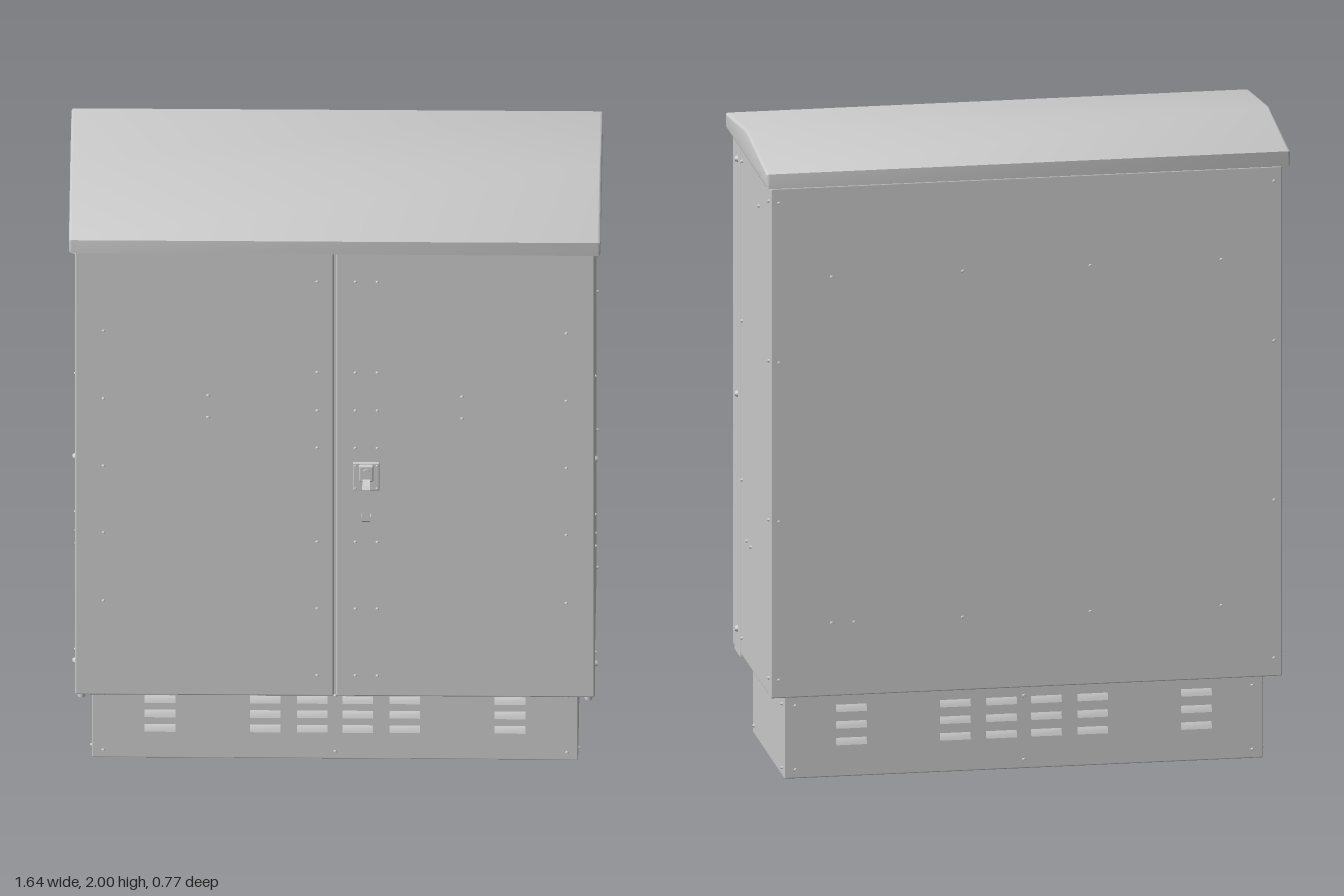
import * as THREE from 'three';
import { mergeGeometries, toCreasedNormals } from 'three/addons/utils/BufferGeometryUtils.js';
import { RoundedBoxGeometry } from 'three/addons/geometries/RoundedBoxGeometry.js';

const grey = new THREE.MeshStandardMaterial({ color: 0xcccccc, side: THREE.DoubleSide });

function add(parent, name, geometry) {
  const mesh = new THREE.Mesh(geometry, grey);
  mesh.name = name;
  parent.add(mesh);
  return mesh;
}

// Box given by its limits, with optionally rounded edges
function box([x0, x1], [y0, y1], [z0, z1], r = 0) {
  const s = [x1 - x0, y1 - y0, z1 - z0];
  const g = r ? new RoundedBoxGeometry(...s, 2, r) : new THREE.BoxGeometry(...s);
  return g.translate((x0 + x1) / 2, (y0 + y1) / 2, (z0 + z1) / 2);
}

// Side profile of [z, y] points extruded along x, centred on x = 0
function sideExtrude(points, width, bevel = 0) {
  const shape = new THREE.Shape(points.map(([z, y]) => new THREE.Vector2(z, y)));
  const g = new THREE.ExtrudeGeometry(shape, {
    depth: width - 2 * bevel, bevelEnabled: bevel > 0,
    bevelSize: bevel, bevelThickness: bevel, bevelOffset: -bevel, bevelSegments: 3,
  });
  return toCreasedNormals(g.translate(0, 0, bevel - width / 2).rotateY(-Math.PI / 2), 0.6);
}

// Domed screw heads on a wall; axis is the outward direction
function screws(parent, name, points, axis, r = 0.0055, h = 0.006) {
  const turn = new THREE.Quaternion().setFromUnitVectors(
    new THREE.Vector3(0, 1, 0), new THREE.Vector3(...axis));
  const parts = points.map((p) => new THREE.CylinderGeometry(r * 0.65, r, h, 10)
    .translate(0, h / 2, 0).applyQuaternion(turn).translate(...p));
  add(parent, name, mergeGeometries(parts));
}

const grid = (as, bs, place) => as.flatMap((a) => bs.map((b) => place(a, b)));

export function createModel() {
  const model = new THREE.Group();
  model.name = 'streetCabinet';

  // Plinth with its screws
  const plinth = new THREE.Group();
  plinth.name = 'plinth';
  plinth.position.z = -0.01;
  model.add(plinth);
  add(plinth, 'plinthBox', box([-0.75, 0.75], [0, 0.272], [-0.285, 0.285], 0.004));
  for (const s of [1, -1]) {
    screws(plinth, 'plinthScrews',
      grid([-0.715, 0, 0.715], [0.028, 0.232], (x, y) => [x, y, s * 0.285]), [0, 0, s]);
    screws(plinth, 'plinthSideScrews',
      grid([-0.25, 0.255], [0.028, 0.232], (z, y) => [s * 0.75, y, z]), [s, 0, 0]);
  }

  // Ventilation hoods in six columns, front and back
  const hood = sideExtrude([[0, 0.012], [0.006, 0.004], [0.011, -0.009], [0, -0.006]], 0.095);
  const hoods = mergeGeometries(grid([-0.54, -0.215, -0.07, 0.07, 0.215, 0.54], [0.218, 0.165, 0.112],
    (x, y) => hood.clone().translate(x, y, 0.285)));
  add(plinth, 'frontVents', hoods);
  add(plinth, 'backVents', hoods).rotation.y = Math.PI;

  // Body with a recessed frame behind the doors and a neck under the roof
  add(model, 'body', box([-0.8, 0.8], [0.272, 1.9], [-0.345, 0.203], 0.004));
  add(model, 'doorFrame', box([-0.775, 0.775], [0.272, 1.89], [0.19, 0.315]));
  add(model, 'roofNeck', box([-0.77, 0.77], [1.88, 1.92], [-0.31, 0.3]));
  const edgeRows = [1.853, 1.343, 0.835, 0.33];
  screws(model, 'backScrews', [
    ...grid([-0.775, 0.775], edgeRows, (x, y) => [x, y, -0.345]),
    ...grid([-0.61, -0.2, 0.2, 0.61], [1.61, 0.505], (x, y) => [x, y, -0.345]),
    [0.54, 0.505, -0.345],
  ], [0, 0, -1]);

  for (const s of [1, -1]) {
    // Side wall screws
    screws(model, 'sideScrews', [
      ...grid([0.17, -0.312], edgeRows, (z, y) => [s * 0.8, y, z]),
      [s * 0.8, 1.79, -0.132], [s * 0.8, 0.663, 0.083], [s * 0.8, 0.663, 0.01],
    ], [s, 0, 0]);

    // Door with hinge bolts and hinge pins
    const door = new THREE.Group();
    door.name = s > 0 ? 'leftDoor' : 'rightDoor';
    model.add(door);
    const xs = [s * 0.003, s * 0.802].sort((a, b) => a - b);
    add(door, 'doorPanel', box(xs, [0.268, 1.9], [0.208, 0.335], 0.006));
    screws(door, 'hingeBolts', [1.84, 1.09, 0.34].map((y) => [s * 0.802, y, 0.25]), [s, 0, 0], 0.011, 0.008);
    for (const y of [0.262, 1.905]) {
      add(door, 'hingePin', new THREE.CylinderGeometry(0.012, 0.012, 0.024, 16).translate(s * 0.782, y, 0.31));
      add(door, 'hingeTab', box([s * 0.782 - 0.018, s * 0.782 + 0.018], [y - 0.004, y + 0.004], [0.21, 0.315]));
    }
    const innerColumns = s > 0 ? [0.063, 0.131] : [-0.055];
    screws(door, 'doorScrews', [
      ...[1.605, 1.357, 1.11, 0.865, 0.615].map((y) => [s * 0.714, y, 0.335]),
      ...grid(innerColumns, [1.79, 1.457, 1.317, 1.18, 0.835, 0.59, 0.345], (x, y) => [x, y, 0.335]),
      ...[1.37, 1.29].map((y) => [s * 0.392, y, 0.335]),
    ], [0, 0, 1]);
  }

  // Swing handle: plate, lock housing and bent lever
  const handle = new THREE.Group();
  handle.name = 'handle';
  handle.position.set(0.097, 0, 0.335);
  model.add(handle);
  add(handle, 'handlePlate', box([-0.041, 0.041], [1.027, 1.13], [-0.002, 0.008], 0.004));
  add(handle, 'lockHousing', box([-0.023, 0.023], [1.065, 1.125], [0, 0.017], 0.006));
  add(handle, 'lockBarrel', new THREE.CylinderGeometry(0.01, 0.01, 0.012, 16)
    .rotateX(Math.PI / 2).translate(0, 1.104, 0.016));
  add(handle, 'lever', sideExtrude([
    [0.005, 1.085], [0.018, 1.075], [0.042, 1.068], [0.05, 1.058], [0.05, 0.945], [0.045, 0.938],
    [0.008, 0.93], [0.008, 0.938], [0.042, 0.947], [0.042, 1.054], [0.036, 1.059], [0.005, 1.062],
  ], 0.024));
  add(handle, 'leverFoot', box([-0.015, 0.015], [0.93, 0.942], [0.004, 0.022]));
  screws(handle, 'plateScrews', grid([-0.033, 0.033], [1.037, 1.12], (x, y) => [x, y, 0.008]), [0, 0, 1], 0.004, 0.004);

  // Overhanging gabled roof with softened edges
  add(model, 'roof', sideExtrude(
    [[0.365, 1.91], [0.365, 1.957], [-0.005, 2], [-0.385, 1.957], [-0.385, 1.91]], 1.64, 0.008));

  return model;
}
